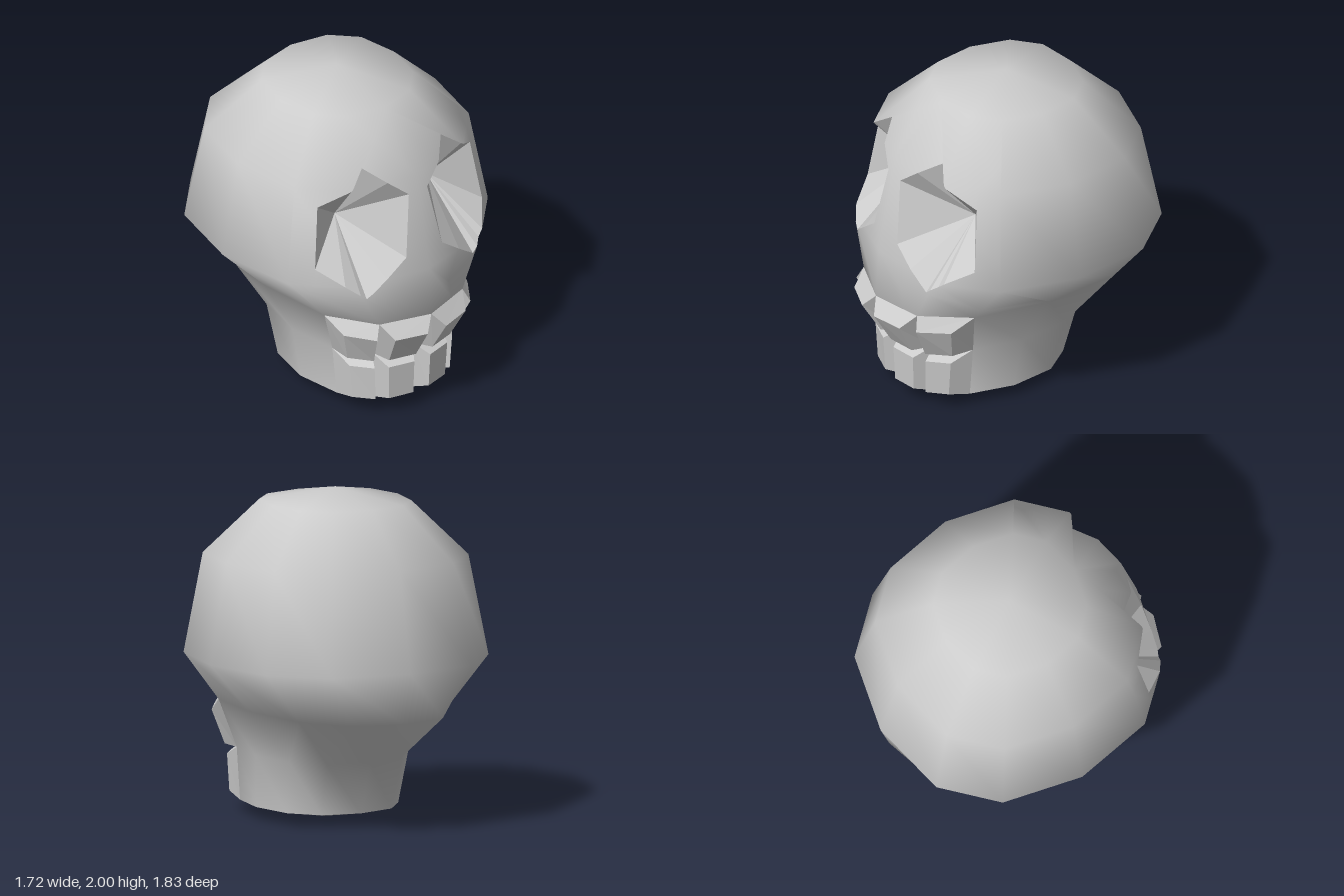
import * as THREE from 'three';

const SIDES = 12;
const material = new THREE.MeshStandardMaterial({ color: 0xcccccc });

// Rings from crown to jaw: [y, half width, half depth, centre z]
const RINGS = [
  [1.92, 0.43, 0.44, -0.02],
  [1.6, 0.75, 0.765, -0.025],
  [1.0, 0.86, 0.88, -0.03],
  [0.69, 0.57, 0.86, 0.01],
  [0.4, 0.46, 0.56, 0.13],
  [0.08, 0.43, 0.5, 0.17],
];
const UPPER = 3, LOWER = 4; // ring rows that carry the teeth
const TOOTH_COLUMNS = [0, 1, SIDES - 2, SIDES - 1];

// Eye socket outline, clockwise from the front on the +x side
const EYE = [[0.3, 1.69], [0.58, 1.49], [0.635, 1.1], [0.405, 0.9], [0.135, 1.105], [0.07, 1.495]];
const EYE_DEPTH = [0.35, 1.3, 0.39];

// Slightly squared ellipse, starting at the front and turning to +x
function ringPoint(j, i) {
  const [y, w, d, cz] = RINGS[j];
  const a = (i / SIDES) * Math.PI * 2;
  const swell = (v) => Math.sign(v) * Math.pow(Math.abs(v), 0.85);
  return new THREE.Vector3(w * swell(Math.sin(a)), y, cz + d * swell(Math.cos(a)));
}

function addMesh(group, name, positions, normals) {
  const geo = new THREE.BufferGeometry();
  geo.setAttribute('position', new THREE.Float32BufferAttribute(positions, 3));
  if (normals) geo.setAttribute('normal', new THREE.Float32BufferAttribute(normals, 3));
  else geo.computeVertexNormals();
  const mesh = new THREE.Mesh(geo, material);
  mesh.name = name;
  group.add(mesh);
}

// Smooth shell as triangles of [x, y, z, nx, ny, nz], leaving out the tooth cells
function shellTriangles() {
  const points = [new THREE.Vector3(0, 2, -0.02)];
  RINGS.forEach((_, j) => {
    for (let i = 0; i < SIDES; i++) points.push(ringPoint(j, i));
  });
  const id = (j, i) => 1 + j * SIDES + (i % SIDES);
  const faces = [], kept = [];
  for (let i = 0; i < SIDES; i++) {
    faces.push([0, id(0, i), id(0, i + 1)]);
    kept.push(true);
    for (let j = 0; j < RINGS.length - 1; j++) {
      const a = id(j, i), b = id(j + 1, i), c = id(j + 1, i + 1), d = id(j, i + 1);
      const keep = !(j >= UPPER && TOOTH_COLUMNS.includes(i));
      faces.push([a, b, c], [a, c, d]);
      kept.push(keep, keep);
    }
  }
  const geo = new THREE.BufferGeometry().setFromPoints(points);
  geo.setIndex(faces.flat());
  geo.computeVertexNormals();
  const n = geo.attributes.normal;
  const vertex = (k) => [...points[k].toArray(), n.getX(k), n.getY(k), n.getZ(k)];
  return faces.filter((_, f) => kept[f]).map((f) => f.map(vertex));
}

// Signed side of p against the line a-b in the front plane; positive is inside
const side = (p, a, b) => (b[0] - a[0]) * (p[1] - a[1]) - (b[1] - a[1]) * (p[0] - a[0]);

// Split a polygon by a line into its inside and outside parts
function split(poly, a, b) {
  const inside = [], outside = [];
  poly.forEach((p, k) => {
    const q = poly[(k + 1) % poly.length];
    const dp = side(p, a, b), dq = side(q, a, b);
    if (dp >= 0) inside.push(p);
    if (dp <= 0) outside.push(p);
    if (dp * dq < 0) {
      const t = dp / (dp - dq);
      const m = p.map((v, c) => v + (q[c] - v) * t);
      inside.push(m);
      outside.push(m);
    }
  });
  return [inside, outside];
}

// Cut one socket out of the shell; the hole's rim is joined to the socket's deep point
function cutSocket(polys, outline, deep) {
  const shell = [], walls = [];
  for (const poly of polys) {
    if (poly.some((p) => p[2] < 0)) { shell.push(poly); continue; }
    let rest = poly;
    outline.forEach((a, k) => {
      if (rest.length < 3) return;
      const [inside, outside] = split(rest, a, outline[(k + 1) % outline.length]);
      if (outside.length > 2) shell.push(outside);
      rest = inside;
    });
    if (rest.length < 3) continue;
    rest.forEach((p, m) => {
      const q = rest[(m + 1) % rest.length];
      const onRim = outline.some((a, k) => {
        const b = outline[(k + 1) % outline.length];
        return Math.abs(side(p, a, b)) < 1e-7 && Math.abs(side(q, a, b)) < 1e-7;
      });
      if (onRim) walls.push(...p.slice(0, 3), ...q.slice(0, 3), ...deep);
    });
  }
  return { shell, walls };
}

// A tooth: one shell cell inset and pushed forward, with sloped sides
function tooth(row, col) {
  const base = [ringPoint(row, col), ringPoint(row + 1, col), ringPoint(row + 1, col + 1), ringPoint(row, col + 1)];
  const s = col < SIDES / 2 ? 1 : -1;
  const push = row === UPPER ? new THREE.Vector3(0.015 * s, -0.04, 0.1) : new THREE.Vector3(0.015 * s, -0.01, 0.11);
  const at = (u, v) => {
    const left = base[0].clone().lerp(base[1], v);
    return left.lerp(base[3].clone().lerp(base[2], v), u).add(push);
  };
  const face = [at(0.18, 0.16), at(0.18, 0.86), at(0.82, 0.86), at(0.82, 0.16)];
  const out = [];
  const quad = (a, b, c, d) => [a, b, c, a, c, d].forEach((p) => out.push(...p.toArray()));
  quad(...face);
  for (let k = 0; k < 4; k++) {
    const n = (k + 1) % 4;
    quad(base[k], base[n], face[n], face[k]);
  }
  return out;
}

export function createModel() {
  const group = new THREE.Group();
  group.name = 'skull';

  // Eye sockets
  let polys = shellTriangles();
  for (const [name, s] of [['leftEyeSocket', 1], ['rightEyeSocket', -1]]) {
    const outline = EYE.map(([x, y]) => [x * s, y]);
    if (s > 0) outline.reverse();
    const cut = cutSocket(polys, outline, [EYE_DEPTH[0] * s, EYE_DEPTH[1], EYE_DEPTH[2]]);
    polys = cut.shell;
    addMesh(group, name, cut.walls);
  }

  // Cranium and jaw
  const positions = [], normals = [];
  for (const poly of polys) {
    for (let k = 1; k < poly.length - 1; k++) {
      for (const p of [poly[0], poly[k], poly[k + 1]]) {
        positions.push(...p.slice(0, 3));
        normals.push(...p.slice(3));
      }
    }
  }
  addMesh(group, 'cranium', positions, normals);

  // Shallow underside
  const under = [];
  const last = RINGS.length - 1;
  for (let i = 0; i < SIDES; i++) {
    under.push(...ringPoint(last, i + 1).toArray(), ...ringPoint(last, i).toArray(), 0, 0, 0.11);
  }
  addMesh(group, 'jawUnderside', under);

  // Teeth
  for (const [name, row] of [['upperTooth', UPPER], ['lowerTooth', LOWER]]) {
    for (const col of TOOTH_COLUMNS) addMesh(group, name, tooth(row, col));
  }
  return group;
}
